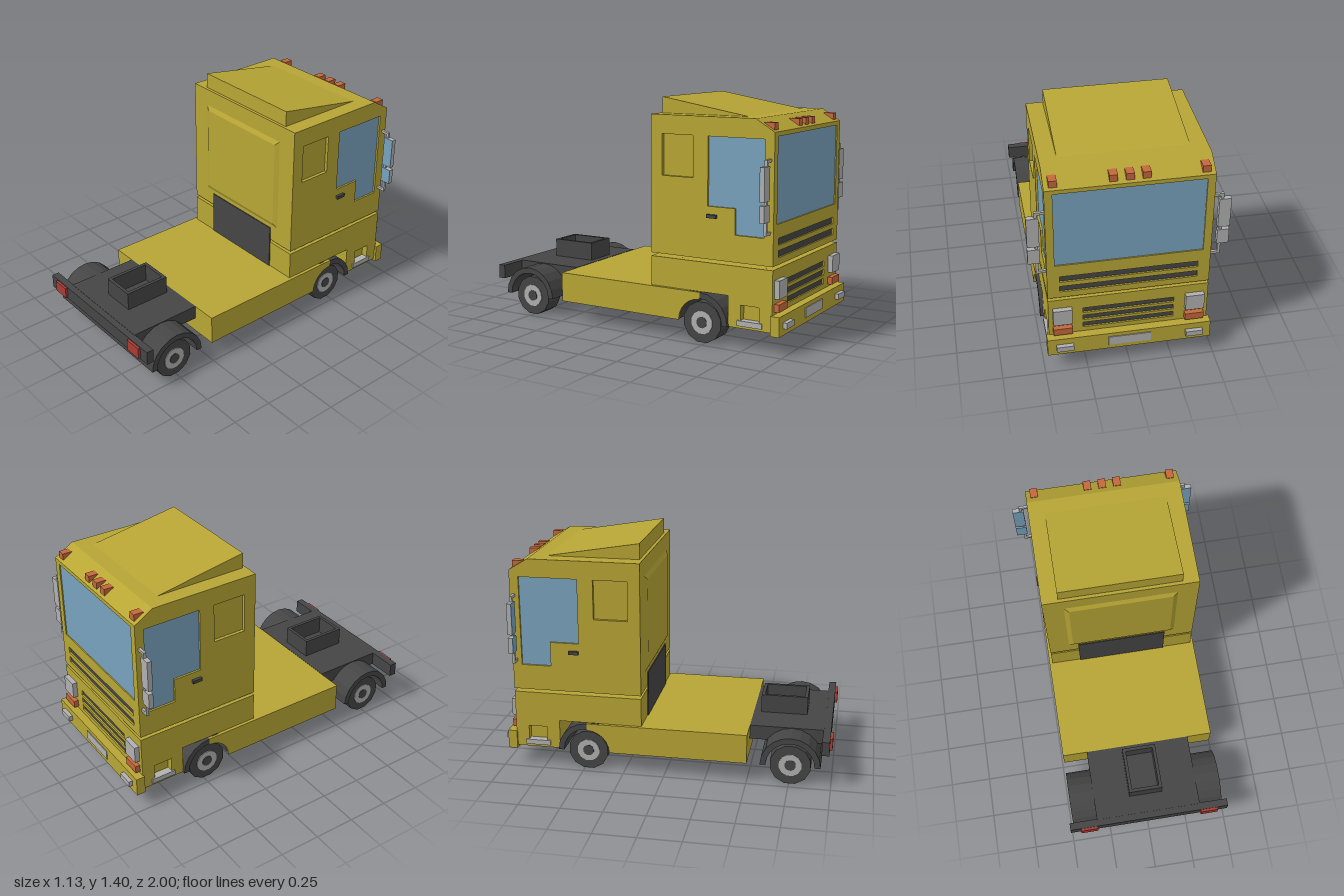
import * as THREE from 'three';

const material = (name, color) => {
  const m = new THREE.MeshStandardMaterial({ color });
  m.name = name;
  return m;
};

export function createModel() {
  const yellow = material('yellow paint', 0xb7a535);
  const dark = material('dark grey', 0x454545);
  const silver = material('silver', 0xb0b0b0);
  const glass = material('blue glass', 0x78a2bd);
  const red = material('red lamp', 0xa83c32);
  const orange = material('orange lamp', 0xc4683c);
  const truck = new THREE.Group();
  truck.name = 'tractorTruck';

  const add = (name, geo, mat) => {
    const mesh = new THREE.Mesh(geo, mat);
    mesh.name = name;
    truck.add(mesh);
    return mesh;
  };
  // Box given by its limits on each axis
  const box = (name, mat, x0, x1, y0, y1, z0, z1) => {
    const g = new THREE.BoxGeometry(Math.abs(x1 - x0), y1 - y0, z1 - z0);
    g.translate((x0 + x1) / 2, (y0 + y1) / 2, (z0 + z1) / 2);
    return add(name, g, mat);
  };
  const bothSides = (fn) => { for (const s of [1, -1]) fn(s, s > 0 ? 'left' : 'right'); };
  const shapeOf = (pts) => new THREE.Shape(pts.map(([a, b]) => new THREE.Vector2(a, b)));
  const rect = (a0, a1, b0, b1) => [[a0, b0], [a1, b0], [a1, b1], [a0, b1]];
  const cut = (shape, ...holes) => {
    for (const h of holes) shape.holes.push(shapeOf(h));
    return shape;
  };
  // Side profile in (z, y), extruded from x0 to x1
  const sideExtrude = (name, mat, shape, x0, x1) => {
    const lo = Math.min(x0, x1), hi = Math.max(x0, x1);
    const g = new THREE.ExtrudeGeometry(shape, { depth: hi - lo, bevelEnabled: false });
    g.rotateY(-Math.PI / 2).translate(hi, 0, 0);
    return add(name, g, mat);
  };
  // Outline in (x, y), extruded from z0 to z1
  const frontExtrude = (name, mat, shape, z0, z1) => {
    const g = new THREE.ExtrudeGeometry(shape, { depth: z1 - z0, bevelEnabled: false });
    return add(name, g.translate(0, 0, z0), mat);
  };
  const arc = (z, r, a0, a1, n = 10) => Array.from({ length: n + 1 }, (_, i) => {
    const a = a0 + (a1 - a0) * i / n;
    return [z + r * Math.cos(a), 0.13 + r * Math.sin(a)];
  });

  // Upper cab: core, side skins with window recesses, front skin
  sideExtrude('cabCore', yellow, shapeOf([[-0.14, 0.505], [-0.14, 1.315], [-0.81, 1.315],
    [-0.925, 1.245], [-0.925, 1.24], [-0.91, 1.24], [-0.91, 0.505]]), -0.445, 0.445);
  const doorWindow = [[-0.515, 1.205], [-0.87, 1.205], [-0.87, 0.66], [-0.69, 0.66], [-0.69, 0.81], [-0.515, 0.81]];
  const cabSide = cut(shapeOf([[-0.14, 0.505], [-0.14, 1.315], [-0.81, 1.315], [-0.925, 1.245], [-0.925, 0.505]]),
    doorWindow, rect(-0.42, -0.215, 0.965, 1.205));
  bothSides((s, side) => {
    sideExtrude(side + 'CabSide', yellow, cabSide, s * 0.445, s * 0.465);
    sideExtrude(side + 'DoorWindow', glass, shapeOf(doorWindow), s * 0.445, s * 0.453);
    box(side + 'DoorHandle', dark, s * 0.465, s * 0.483, 0.745, 0.765, -0.575, -0.515);
  });
  const slot = (w, y0, y1) => rect(-w, w, y0, y1);
  frontExtrude('cabFront', yellow, cut(shapeOf(slot(0.445, 0.505, 1.24)), slot(0.42, 0.735, 1.22),
    slot(0.395, 0.615, 0.655), slot(0.395, 0.545, 0.585)), -0.925, -0.91);
  box('windscreen', glass, -0.42, 0.42, 0.735, 1.22, -0.918, -0.91);
  box('upperGrille', dark, -0.395, 0.395, 0.545, 0.585, -0.915, -0.91);
  box('upperGrille', dark, -0.395, 0.395, 0.615, 0.655, -0.915, -0.91);

  // Roof deflector and marker lamps
  sideExtrude('roofDeflector', yellow, shapeOf([[-0.16, 1.31], [-0.16, 1.41], [-0.72, 1.315], [-0.72, 1.31]]), -0.367, 0.367);
  for (const x of [-0.415, -0.09, 0, 0.09, 0.415])
    sideExtrude('markerLamp', orange, shapeOf([[-0.85, 1.285], [-0.85, 1.295], [-0.91, 1.295], [-0.91, 1.25]]), x - 0.023, x + 0.023);

  // Raised bevelled panel on the cab's back wall
  const panel = new THREE.BoxGeometry(0.68, 0.595, 0.015);
  const p = panel.attributes.position;
  for (let i = 0; i < p.count; i++)
    if (p.getZ(i) > 0) p.setXY(i, p.getX(i) * 0.92, p.getY(i) * 0.91);
  panel.computeVertexNormals();
  add('backPanel', panel.translate(0, 0.9125, -0.1325), yellow);
  box('backCover', dark, -0.28, 0.28, 0.31, 0.59, -0.141, -0.134);

  // Lower cab with grille slots and step recesses
  const lowerOutline = [[-0.14, 0.31], [-0.14, 0.485], [-0.91, 0.485], [-0.91, 0.13], [-0.65, 0.13], [-0.65, 0.31]];
  sideExtrude('lowerCabCore', yellow, shapeOf(lowerOutline), -0.425, 0.425);
  const lowerSide = cut(shapeOf(lowerOutline.map(([z, y]) => [z === -0.91 ? -0.925 : z, y])), rect(-0.845, -0.73, 0.175, 0.265));
  const slats = [[0.37, 0.405], [0.315, 0.35], [0.26, 0.295]];
  frontExtrude('lowerCabFront', yellow, cut(shapeOf(slot(0.425, 0.13, 0.485)),
    ...slats.map(([a, b]) => slot(0.265, a, b))), -0.925, -0.91);
  for (const [a, b] of slats) box('lowerGrille', dark, -0.265, 0.265, a, b, -0.915, -0.91);
  bothSides((s, side) => {
    sideExtrude(side + 'LowerCabSide', yellow, lowerSide, s * 0.425, s * 0.465);
    box(side + 'Step', silver, s * 0.43, s * 0.474, 0.145, 0.176, -0.865, -0.71);
    box(side + 'Headlamp', silver, s * 0.33, s * 0.44, 0.32, 0.425, -0.955, -0.92);
    box(side + 'Indicator', orange, s * 0.33, s * 0.44, 0.245, 0.29, -0.955, -0.92);
    box(side + 'FogLamp', silver, s * 0.33, s * 0.43, 0.155, 0.19, -1, -0.97);
  });
  box('frontBumper', yellow, -0.48, 0.48, 0.115, 0.23, -0.975, -0.92);
  box('frontPlate', silver, -0.125, 0.125, 0.145, 0.205, -0.98, -0.974);

  // Mirrors on bent brackets
  bothSides((s, side) => {
    for (const y of [0.692, 1.092])
      box(side + 'MirrorArm', silver, s * 0.46, s * 0.522, y - 0.008, y + 0.008, -0.909, -0.893);
    box(side + 'MirrorPost', silver, s * 0.506, s * 0.522, 0.684, 1.1, -0.909, -0.893);
    for (const [a, b] of [[0.76, 0.855], [0.875, 1.065]]) {
      box(side + 'MirrorCase', silver, s * 0.497, s * 0.565, a, b, -0.915, -0.89);
      box(side + 'MirrorGlass', glass, s * 0.497, s * 0.565, a, b, -0.89, -0.886);
    }
  });

  // Chassis skirt, open underneath, with wheel cut-outs
  const frontAxleZ = -0.475, rearAxleZ = 0.757;
  const skirt = shapeOf([[0.5, 0.13], [0.5, 0.31], [frontAxleZ, 0.31], ...arc(frontAxleZ, 0.138, Math.PI / 2, 0, 6)]);
  bothSides((s, side) => sideExtrude(side + 'Skirt', yellow, skirt, s * 0.47, s * 0.485));
  box('chassisTop', yellow, -0.47, 0.47, 0.295, 0.31, -0.4, 0.485);
  box('chassisBack', yellow, -0.47, 0.47, 0.13, 0.31, 0.485, 0.5);

  // Rear deck, bumper and lamps
  box('rearDeck', dark, -0.33, 0.33, 0.225, 0.312, 0.5, 0.945);
  box('rearBumper', dark, -0.505, 0.505, 0.225, 0.31, 0.94, 0.985);
  box('rearPlate', silver, -0.125, 0.125, 0.165, 0.225, 0.937, 0.945);
  bothSides((s, side) => box(side + 'TailLamp', red, s * 0.33, s * 0.44, 0.235, 0.305, 0.985, 1));

  // Open coupling box on the deck
  const couplingBox = cut(shapeOf(rect(-0.105, 0.105, -0.83, -0.545)), rect(-0.085, 0.085, -0.81, -0.565));
  const coupling = new THREE.ExtrudeGeometry(couplingBox, { depth: 0.115, bevelEnabled: false });
  add('couplingBox', coupling.rotateX(-Math.PI / 2).translate(0, 0.31, 0), dark);

  // Full-width mudguards and the wheels
  const cylinder = (name, mat, r, x0, x1, y, z, sides = 12) => {
    const g = new THREE.CylinderGeometry(r, r, Math.abs(x1 - x0), sides);
    g.rotateY(Math.PI / sides).rotateZ(Math.PI / 2).translate((x0 + x1) / 2, y, z);
    const mesh = add(name, g.toNonIndexed(), mat);
    mesh.geometry.computeVertexNormals();
  };
  for (const [end, z] of [['front', frontAxleZ], ['rear', rearAxleZ]]) {
    const guard = shapeOf([...arc(z, 0.18, 0, Math.PI), ...arc(z, 0.145, Math.PI, 0)]);
    sideExtrude(end + 'Mudguard', dark, guard, -0.484, 0.484);
    bothSides((s) => {
      cylinder(end + 'Tyre', dark, 0.124, s * 0.33, s * 0.45, 0.125, z);
      cylinder(end + 'Rim', silver, 0.07, s * 0.44, s * 0.455, 0.125, z);
      cylinder(end + 'Hub', dark, 0.034, s * 0.45, s * 0.458, 0.125, z);
    });
  }
  cylinder('frontAxle', silver, 0.07, -0.33, 0.33, 0.125, frontAxleZ, 8);

  return truck;
}
